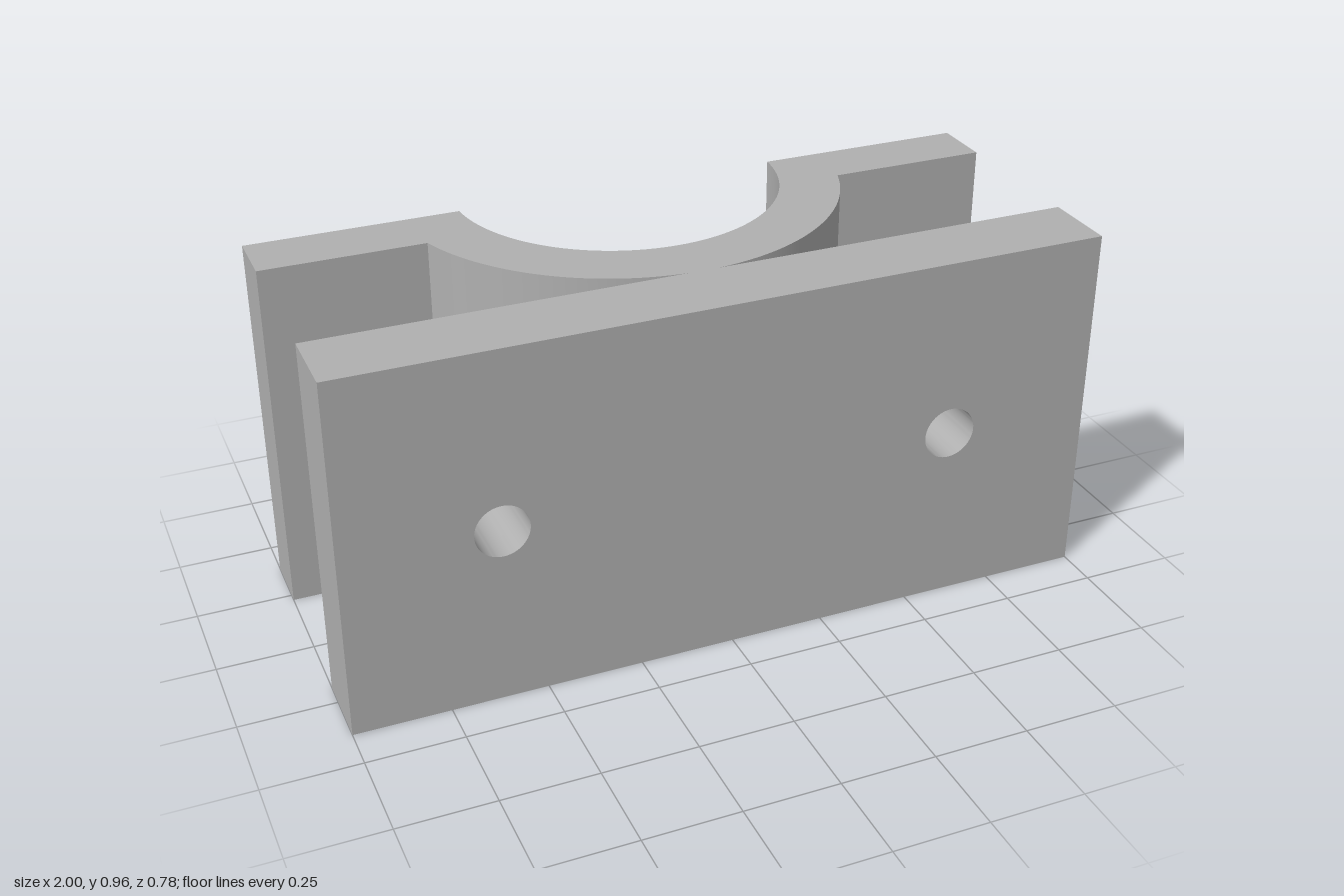
import * as THREE from 'three';
import { toCreasedNormals } from 'three/addons/utils/BufferGeometryUtils.js';

const HEIGHT = 0.96;
const BACK = -0.388, EAR_FRONT = -0.2265; // ear depth range
const PLATE_BACK = 0.187, PLATE_FRONT = 0.388;
const CENTRE_Z = -0.412, R_IN = 0.439, R_OUT = 0.6;
const HOLE_R = 0.07;

// x where a circle of the saddle crosses a given depth
const crossing = (r, z) => Math.sqrt(r * r - (z - CENTRE_Z) ** 2);

// Full-height slab between two x and two z values, with round bolt holes
function slab(x0, x1, z0, z1, holes) {
  const shape = new THREE.Shape();
  shape.moveTo(x0, 0).lineTo(x1, 0).lineTo(x1, HEIGHT).lineTo(x0, HEIGHT).closePath();
  for (const x of holes) {
    shape.holes.push(new THREE.Path().absarc(x, HEIGHT / 2, HOLE_R, 0, Math.PI * 2, true));
  }
  const geo = new THREE.ExtrudeGeometry(shape, { depth: z1 - z0, bevelEnabled: false, curveSegments: 32 });
  return geo.translate(0, 0, z0);
}

// Half-round saddle, extruded upwards
function saddleGeometry() {
  const outer = Math.asin((EAR_FRONT - CENTRE_Z) / R_OUT);
  const inner = Math.asin((BACK - CENTRE_Z) / R_IN);
  const shape = new THREE.Shape();
  shape.absarc(0, -CENTRE_Z, R_OUT, Math.PI + outer, Math.PI * 2 - outer, false);
  shape.absarc(0, -CENTRE_Z, R_IN, -inner, Math.PI + inner, true);
  shape.closePath();
  const geo = new THREE.ExtrudeGeometry(shape, { depth: HEIGHT, bevelEnabled: false, curveSegments: 64 });
  return geo.rotateX(-Math.PI / 2);
}

// Bolt ear whose inner end is mitred to meet the saddle
function earGeometry(side) {
  const xBack = crossing(R_IN, BACK), xFront = crossing(R_OUT, EAR_FRONT);
  const geo = slab(side * xBack, side, BACK, EAR_FRONT, [side * 0.8]);
  const p = geo.attributes.position;
  for (let i = 0; i < p.count; i++) {
    if (Math.abs(p.getX(i)) < xBack + 0.01 && p.getZ(i) > EAR_FRONT - 0.01) p.setX(i, side * xFront);
  }
  return geo;
}

export function createModel() {
  const model = new THREE.Group();
  model.name = 'pipeClampBracket';
  const grey = new THREE.MeshStandardMaterial({ color: 0xb0b0b0 });
  grey.name = 'grey';

  const add = (name, geo) => {
    const mesh = new THREE.Mesh(toCreasedNormals(geo, 0.5), grey);
    mesh.name = name;
    model.add(mesh);
  };

  add('mountingPlate', slab(-1, 1, PLATE_BACK, PLATE_FRONT, [-0.6, 0.6]));
  add('saddle', saddleGeometry());
  add('leftEar', earGeometry(1));
  add('rightEar', earGeometry(-1));
  return model;
}
